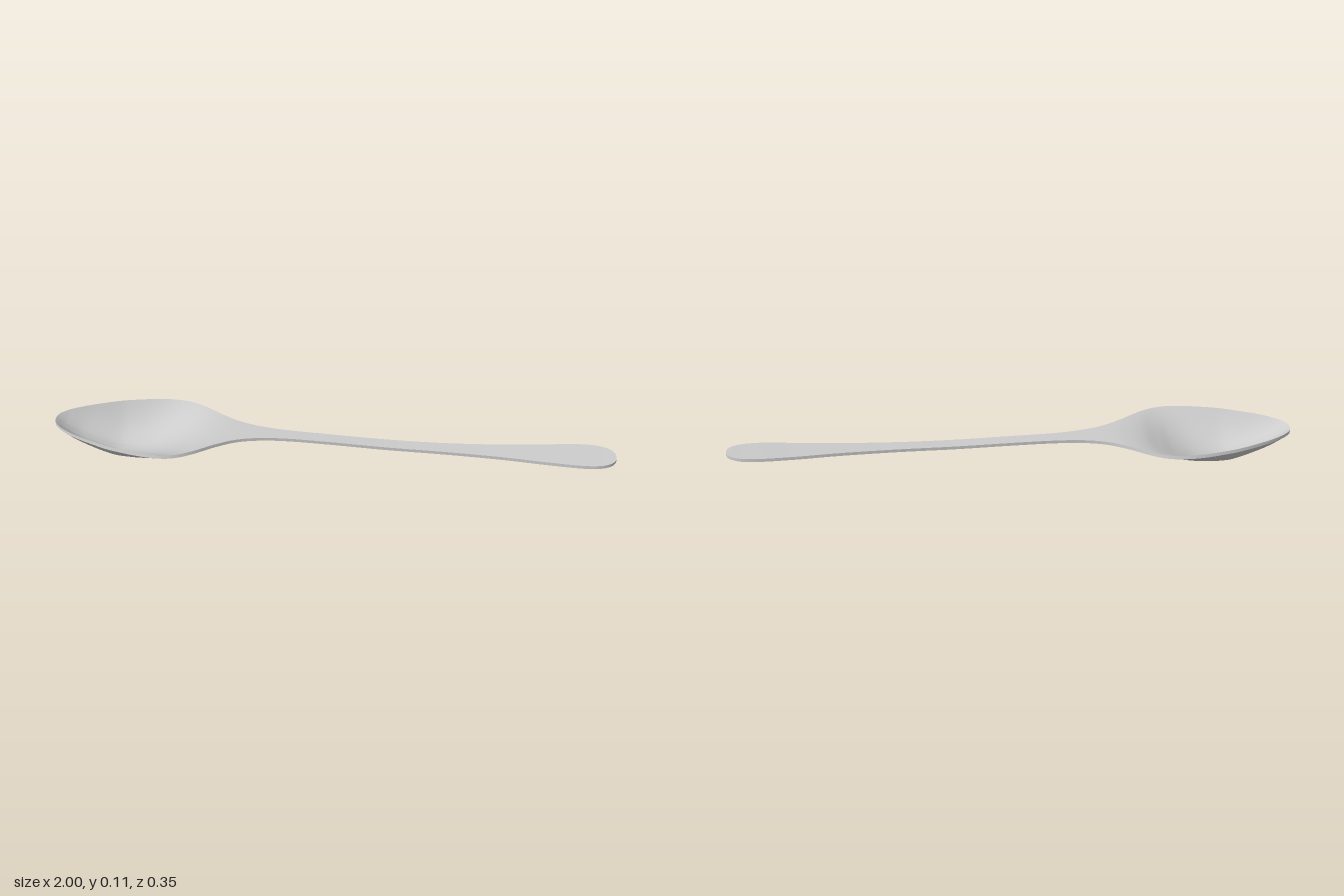
import * as THREE from 'three';
import { toCreasedNormals } from 'three/addons/utils/BufferGeometryUtils.js';

// Stations along the spoon: x, centre z, half width, top y, bowl depth
const STATIONS = [
  [-1.0, -0.01, 0.012, 0.113, 0.0],
  [-0.99, -0.01, 0.034, 0.113, 0.008],
  [-0.96, -0.009, 0.062, 0.113, 0.03],
  [-0.9, -0.007, 0.097, 0.113, 0.062],
  [-0.8, -0.006, 0.138, 0.113, 0.095],
  [-0.74, -0.005, 0.155, 0.113, 0.101],
  [-0.66, -0.005, 0.171, 0.113, 0.09],
  [-0.59, -0.004, 0.176, 0.113, 0.067],
  [-0.53, -0.004, 0.167, 0.113, 0.039],
  [-0.47, -0.005, 0.139, 0.114, 0.015],
  [-0.4, -0.007, 0.093, 0.115, 0.003],
  [-0.33, -0.009, 0.057, 0.115, 0],
  [-0.25, -0.01, 0.036, 0.114, 0],
  [-0.15, -0.011, 0.026, 0.112, 0],
  [0.0, -0.011, 0.024, 0.109, 0],
  [0.2, -0.011, 0.024, 0.104, 0],
  [0.4, -0.012, 0.026, 0.104, 0],
  [0.6, -0.014, 0.036, 0.106, 0],
  [0.75, -0.016, 0.05, 0.108, 0],
  [0.87, -0.017, 0.06, 0.111, 0],
  [0.94, -0.017, 0.056, 0.112, 0],
  [0.98, -0.016, 0.04, 0.113, 0],
  [0.995, -0.015, 0.022, 0.113, 0],
  [1.0, -0.015, 0.008, 0.113, 0],
];
const THICKNESS = 0.011;
const ACROSS = 20;
const ALONG = 184;

function createSpoonGeometry() {
  const spline = (pick) =>
    new THREE.CatmullRomCurve3(STATIONS.map((s) => new THREE.Vector3(...pick(s))), false, 'catmullrom', 0.5);
  const outline = spline((s) => [s[0], s[1], s[2]]);
  const heights = spline((s) => [s[0], s[3], s[4]]);

  const positions = [];
  const index = [];
  const ring = 2 * (ACROSS + 1);

  // Each section: dished upper face from -z to +z, then lower face back again
  for (let i = 0; i <= ALONG; i++) {
    const { x, y: centre, z: half } = outline.getPoint(i / ALONG);
    const { y: top, z: rawDepth } = heights.getPoint(i / ALONG);
    const depth = Math.max(0, rawDepth);
    const roll = -0.06 * Math.max(0, x);
    for (let j = 0; j < ring; j++) {
      const upper = j <= ACROSS;
      const u = upper ? -1 + (2 * j) / ACROSS : 1 - (2 * (j - ACROSS - 1)) / ACROSS;
      const offset = u * half * (upper ? 0.975 : 1);
      const y = top - depth * (1 - u * u) - (upper ? 0 : THICKNESS) + roll * offset;
      positions.push(x, y, centre + offset);
    }
  }

  // Skin between neighbouring sections
  for (let i = 0; i < ALONG; i++) {
    for (let j = 0; j < ring; j++) {
      const k = (j + 1) % ring;
      const a = i * ring + j, b = i * ring + k;
      index.push(a, b, a + ring, b, b + ring, a + ring);
    }
  }

  // Close the two tips
  const last = ALONG * ring;
  for (let j = 1; j < ring - 1; j++) {
    index.push(0, j + 1, j);
    index.push(last, last + j, last + j + 1);
  }

  const geometry = new THREE.BufferGeometry();
  geometry.setAttribute('position', new THREE.Float32BufferAttribute(positions, 3));
  geometry.setIndex(index);
  return toCreasedNormals(geometry, 0.5);
}

export function createModel() {
  const group = new THREE.Group();
  group.name = 'spoon';
  // Bowl and handle are one continuous piece
  const body = new THREE.Mesh(createSpoonGeometry(), new THREE.MeshStandardMaterial({ color: 0xcccccc }));
  body.name = 'bowlAndHandle';
  group.add(body);
  return group;
}
